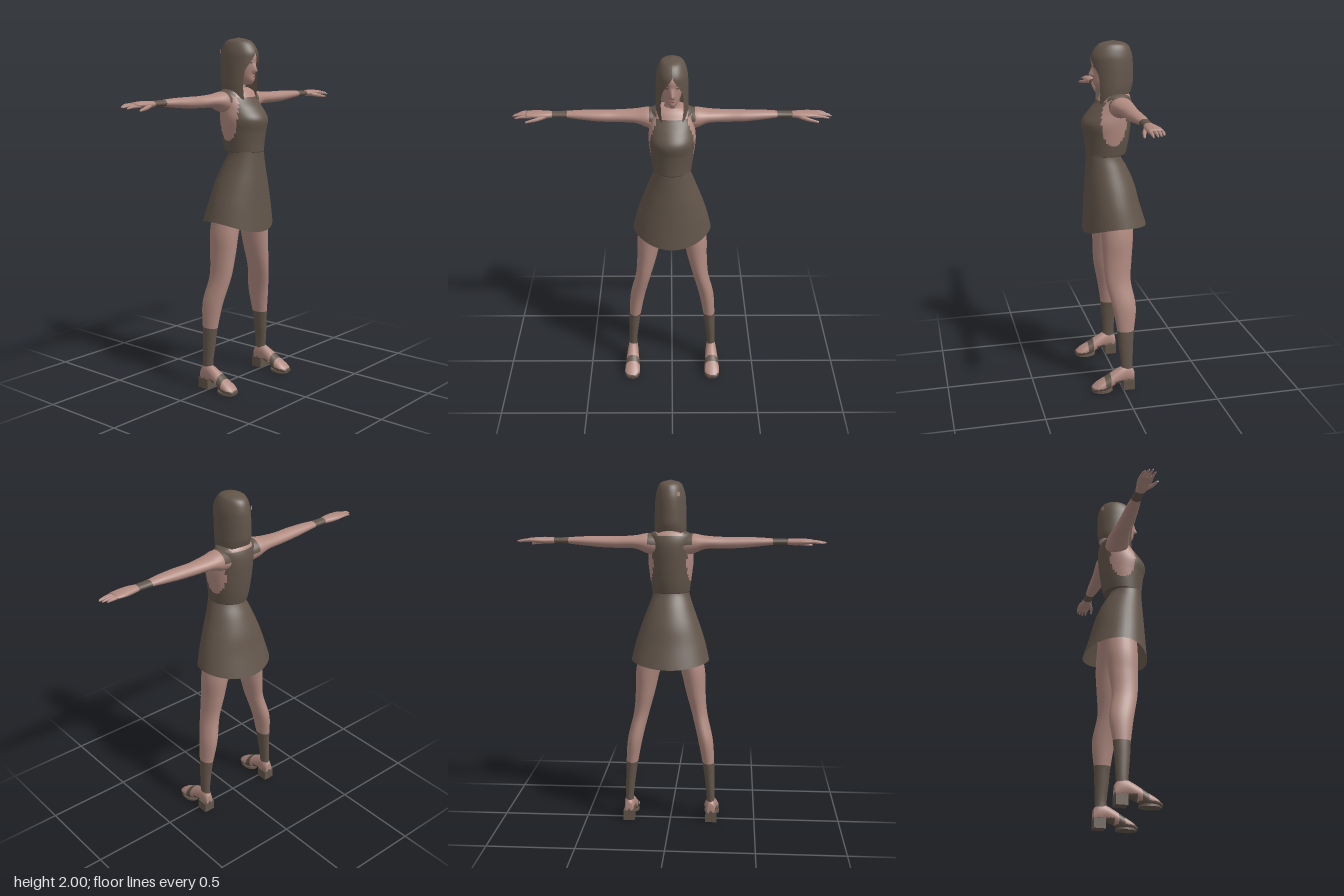
import * as THREE from 'three';

const skin = new THREE.MeshStandardMaterial({ color: 0xb08a80, side: THREE.DoubleSide });
skin.name = 'skin';
const cloth = new THREE.MeshStandardMaterial({ color: 0x62554a, side: THREE.DoubleSide });
cloth.name = 'darkCloth';
const lip = new THREE.MeshStandardMaterial({ color: 0x8a5f58 });
lip.name = 'lip';

// Smooth interpolation through rows of numbers
function sampleRows(rows, t) {
  const n = rows.length - 1;
  const i = Math.min(n - 1, Math.floor(t * n));
  const f = t * n - i;
  const [p0, p1, p2, p3] = [-1, 0, 1, 2].map((k) => rows[Math.min(n, Math.max(0, i + k))]);
  return p1.map((b, k) => {
    const a = p0[k], c = p2[k], d = p3[k];
    return b + 0.5 * f * (c - a + f * (2 * a - 5 * b + 4 * c - d + f * (3 * (b - c) + d - a)));
  });
}

// Elliptical cross-sections swept along an axis. Each row is [position, a0, a1, b0, b1];
// a and b run along x,z (axis y), y,z (axis x) or x,y (axis z). pick() paints cells as cloth.
function sweep(name, axis, rows, o = {}) {
  const { nu = 24, nv = 24, caps = true, side = 1, warp, pick = () => 0 } = o;
  const pos = [];
  const rings = [];
  for (let j = 0; j <= nv; j++) rings.push(sampleRows(rows, j / nv));
  if (caps) {
    const close = ([p, a0, a1, b0, b1]) => [p, (a0 + a1) / 2, (a0 + a1) / 2, (b0 + b1) / 2, (b0 + b1) / 2];
    rings.unshift(close(rings[0]));
    rings.push(close(rings[rings.length - 1]));
  }
  for (const [p, a0, a1, b0, b1] of rings) {
    for (let i = 0; i < nu; i++) {
      const t = (i / nu) * Math.PI * 2;
      const a = (a0 + a1) / 2 + ((a1 - a0) / 2) * Math.cos(t);
      const b = (b0 + b1) / 2 + ((b1 - b0) / 2) * Math.sin(t);
      const v = axis === 'y' ? new THREE.Vector3(a, p, b)
        : axis === 'x' ? new THREE.Vector3(p, a, b) : new THREE.Vector3(a, b, p);
      if (warp) warp(v);
      pos.push(v.x * side, v.y, v.z);
    }
  }
  const flip = (axis === 'y') !== (side < 0);
  const lists = [[], []];
  for (let j = 0; j < rings.length - 1; j++) {
    for (let i = 0; i < nu; i++) {
      const k = (i + 1) % nu;
      const [a, b, c, d] = [j * nu + i, j * nu + k, (j + 1) * nu + k, (j + 1) * nu + i];
      const mid = [0, 1, 2].map((m) => [a, b, c, d].reduce((s, q) => s + pos[q * 3 + m], 0) / 4);
      const list = lists[pick(mid[0] * side, mid[1], mid[2]) ? 1 : 0];
      list.push(...(flip ? [a, d, c, a, c, b] : [a, b, c, a, c, d]));
    }
  }
  const g = new THREE.BufferGeometry();
  g.setAttribute('position', new THREE.Float32BufferAttribute(pos, 3));
  g.setIndex([...lists[0], ...lists[1]]);
  g.addGroup(0, lists[0].length, 0);
  g.addGroup(lists[0].length, lists[1].length, 1);
  g.computeVertexNormals();
  const mesh = new THREE.Mesh(g, [skin, cloth]);
  mesh.name = name;
  return mesh;
}

// Hair shell: arcs that leave the face open. Rows are [y, rx, zBack, zFront, openAngle]
function makeHair() {
  const rows = [
    [2.0, 0.002, 0.0, 0.004, 0], [1.987, 0.05, -0.06, 0.065, 0], [1.965, 0.069, -0.09, 0.098, 0],
    [1.92, 0.083, -0.106, 0.124, 0.02], [1.875, 0.087, -0.111, 0.126, 0.34], [1.82, 0.089, -0.112, 0.122, 0.68],
    [1.74, 0.09, -0.11, 0.116, 0.74], [1.67, 0.087, -0.1, 0.108, 0.64],
  ];
  const nu = 40, nv = 42, pos = [], idx = [];
  for (let j = 0; j <= nv; j++) {
    const [y, rx, zb, zf, open] = sampleRows(rows, j / nv);
    const gap = Math.max(0, open);
    const low = Math.max(0, (1.78 - y) / 0.11);
    for (let i = 0; i <= nu; i++) {
      const t = gap + (i / nu) * 2 * (Math.PI - gap);
      pos.push(rx * Math.sin(t), y + low * (0.008 - 0.045 * Math.cos(t)), (zf + zb) / 2 + ((zf - zb) / 2) * Math.cos(t));
      if (i < nu && j < nv) {
        const a = j * (nu + 1) + i, d = a + nu + 1;
        idx.push(a, d, d + 1, a, d + 1, a + 1);
      }
    }
  }
  const g = new THREE.BufferGeometry();
  g.setAttribute('position', new THREE.Float32BufferAttribute(pos, 3));
  g.setIndex(idx);
  g.computeVertexNormals();
  const mesh = new THREE.Mesh(g, cloth);
  mesh.name = 'hair';
  return mesh;
}

// Thin oval plate for a face detail
function plate(name, mat, w, h, x, y, z, turn) {
  const m = new THREE.Mesh(new THREE.CircleGeometry(0.5, 16).scale(w, h, 1), mat);
  m.position.set(x, y, z);
  m.rotation.y = turn;
  m.name = name;
  return m;
}

export function createModel() {
  const model = new THREE.Group();
  model.name = 'woman';

  // Flared skirt with a hem that dips at the front
  model.add(sweep('skirt', 'y', [
    [0.975, -0.225, 0.225, -0.188, 0.18], [1.08, -0.2, 0.2, -0.15, 0.172], [1.18, -0.167, 0.167, -0.122, 0.166],
    [1.28, -0.13, 0.13, -0.08, 0.16], [1.36, -0.104, 0.104, -0.035, 0.157], [1.42, -0.1, 0.1, -0.03, 0.155],
  ], {
    nu: 40, caps: false, pick: () => 1,
    warp: (v) => {
      const w = Math.max(0, (1.2 - v.y) / 0.225), zn = v.z / 0.185;
      v.y -= w * (v.z > 0 ? 0.066 : 0.027) * zn * zn;
    },
  }));

  // Bodice with bare armholes and a scooped neckline
  model.add(sweep('bodice', 'y', [
    [1.365, -0.107, 0.107, -0.07, 0.158], [1.42, -0.115, 0.115, -0.083, 0.162], [1.48, -0.123, 0.123, -0.092, 0.17],
    [1.55, -0.13, 0.13, -0.1, 0.182], [1.61, -0.125, 0.125, -0.105, 0.142], [1.66, -0.122, 0.122, -0.103, 0.095],
    [1.7, -0.115, 0.115, -0.09, 0.068], [1.722, -0.07, 0.07, -0.07, 0.045],
  ], {
    nu: 56, nv: 48,
    pick: (x, y, z) => {
      const ax = Math.abs(x);
      const armhole = ax > 0.06 && ((z - 0.02) / 0.075) ** 2 + ((y - 1.56) / 0.13) ** 2 < 1;
      const neckline = z > 0 ? y > 1.672 && ax < 0.085 : y > 1.695 && ax < 0.075;
      return !armhole && !neckline;
    },
  }));

  // Neck and head, with a raised nose
  model.add(sweep('neck', 'y', [
    [1.69, -0.06, 0.06, -0.065, 0.05], [1.73, -0.042, 0.042, -0.05, 0.04], [1.8, -0.04, 0.04, -0.05, 0.04],
  ], { nv: 10 }));
  model.add(sweep('head', 'y', [
    [1.742, -0.014, 0.014, 0.03, 0.095], [1.765, -0.033, 0.033, -0.02, 0.112], [1.8, -0.05, 0.05, -0.07, 0.114],
    [1.85, -0.06, 0.06, -0.09, 0.117], [1.9, -0.062, 0.062, -0.09, 0.119], [1.95, -0.05, 0.05, -0.06, 0.09],
  ], {
    nu: 56, nv: 40,
    warp: (v) => {
      if (v.z < 0.05) return;
      const h = v.y < 1.815 ? 1 - (1.815 - v.y) / 0.015 : 1 - (v.y - 1.815) / 0.05;
      v.z += 0.026 * Math.max(0, h) * Math.exp(-((v.x / 0.011) ** 2));
    },
  }));
  model.add(makeHair());
  model.add(plate('mouth', lip, 0.026, 0.009, 0, 1.786, 0.1155, 0));
  const spot = plate('hairSpot', skin, 0.022, 0.026, -0.05, 1.925, -0.092, Math.PI + 0.5);
  model.add(spot);

  for (const s of [1, -1]) {
    const label = s > 0 ? 'left' : 'right';
    model.add(plate(label + 'Eye', cloth, 0.022, 0.009, s * 0.028, 1.862, 0.1125, s * 0.55));
    model.add(plate(label + 'Brow', cloth, 0.028, 0.005, s * 0.028, 1.879, 0.1135, s * 0.55));

    // Arm with a wristband
    model.add(sweep(label + 'Arm', 'x', [
      [0.07, 1.58, 1.7, -0.08, 0.045], [0.13, 1.59, 1.704, -0.085, 0.05], [0.2, 1.617, 1.692, -0.08, 0.035],
      [0.3, 1.62, 1.686, -0.071, 0.02], [0.4, 1.624, 1.686, -0.066, 0.02], [0.5, 1.634, 1.684, -0.061, 0.012],
      [0.58, 1.643, 1.679, -0.055, 0.002], [0.67, 1.645, 1.677, -0.053, 0],
    ], { nv: 60, side: s, pick: (x, y) => x > 0.58 && x < 0.66 || x < 0.122 && y > 1.64 }));

    // Hand: palm, four fingers and a thumb
    const hand = new THREE.Group();
    hand.name = label + 'Hand';
    hand.add(sweep('palm', 'x', [
      [0.655, 1.645, 1.677, -0.053, 0], [0.7, 1.641, 1.68, -0.06, 0.01], [0.75, 1.645, 1.679, -0.068, 0.013],
      [0.8, 1.652, 1.674, -0.066, 0.01],
    ], { nv: 12, side: s }));
    [0.85, 0.868, 0.875, 0.862].forEach((tip, i) => {
      const z = -0.055 + i * 0.0185, y = 1.662 - (i === 3 ? 0.006 : 0);
      hand.add(sweep('finger', 'x', [
        [0.77, y - 0.008, y + 0.01, z - 0.01, z + 0.01], [0.82, y - 0.008, y + 0.008, z - 0.009, z + 0.009],
        [tip, y - 0.011, y - 0.003, z - 0.001, z + 0.007],
      ], { nu: 10, nv: 8, side: s }));
    });
    hand.add(sweep('thumb', 'x', [
      [0.69, 1.645, 1.668, -0.02, 0.008], [0.74, 1.636, 1.658, 0.006, 0.028], [0.8, 1.631, 1.643, 0.026, 0.038],
    ], { nu: 10, nv: 8, side: s }));
    model.add(hand);

    // Leg with a tall sock
    model.add(sweep(label + 'Leg', 'y', [
      [0.1, 0.217, 0.265, -0.06, 0.012], [0.16, 0.217, 0.265, -0.06, 0.01], [0.26, 0.205, 0.263, -0.064, 0.02],
      [0.36, 0.19, 0.26, -0.071, 0.028], [0.5, 0.163, 0.25, -0.086, 0.05], [0.65, 0.126, 0.216, -0.064, 0.082],
      [0.78, 0.091, 0.205, -0.074, 0.092], [0.915, 0.058, 0.2, -0.085, 0.097], [1.08, 0.0, 0.165, -0.085, 0.1],
    ], { nv: 64, side: s, pick: (x, y) => y < 0.367 }));

    // Strapped shoe with a block heel
    model.add(sweep(label + 'Foot', 'z', [
      [-0.068, 0.222, 0.265, 0.04, 0.11], [-0.04, 0.215, 0.27, 0.04, 0.147], [0, 0.212, 0.275, 0.045, 0.142],
      [0.05, 0.206, 0.281, 0.028, 0.116], [0.1, 0.2, 0.288, 0.002, 0.085], [0.15, 0.2, 0.289, 0, 0.054],
      [0.186, 0.22, 0.272, 0.004, 0.026],
    ], { nu: 32, nv: 36, side: s, pick: (x, y, z) => y < 0.028 || (z > 0.075 && z < 0.112) || (z < 0.05 && y < 0.062) }));
    const heel = new THREE.Mesh(new THREE.BoxGeometry(0.066, 0.06, 0.068), cloth);
    heel.position.set(s * 0.244, 0.03, -0.034);
    heel.name = label + 'Heel';
    const sole = new THREE.Mesh(new THREE.CylinderGeometry(0.045, 0.046, 0.012, 24).scale(1, 1, 1.35), cloth);
    sole.position.set(s * 0.245, 0.006, 0.122);
    sole.name = label + 'Sole';
    model.add(heel, sole);
  }
  return model;
}
